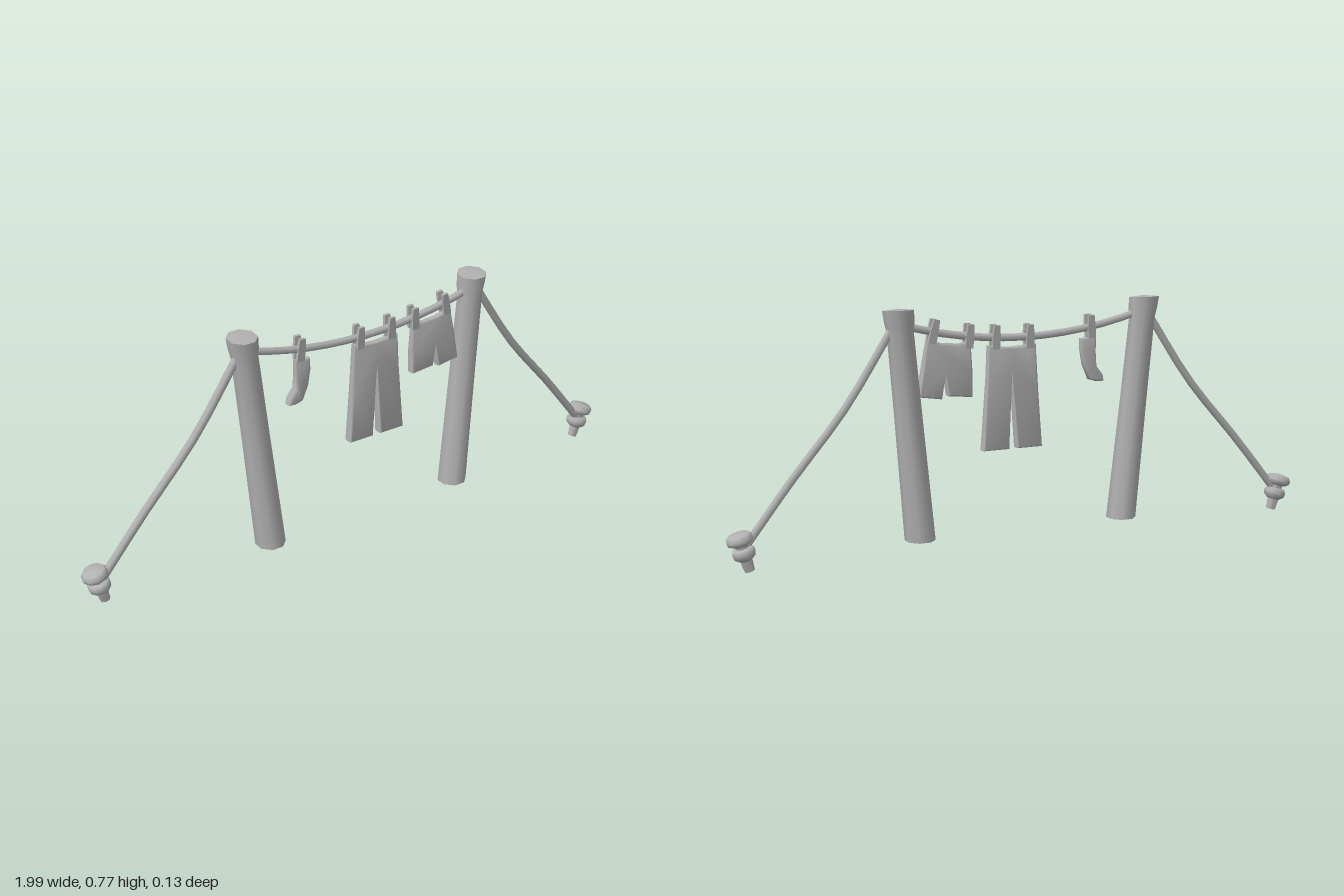
import * as THREE from 'three';
import { toCreasedNormals } from 'three/addons/utils/BufferGeometryUtils.js';

const grey = new THREE.MeshStandardMaterial({ color: 0xb0b0b0 });
grey.name = 'plain grey';

function add(parent, name, geometry) {
  const mesh = new THREE.Mesh(geometry, grey);
  mesh.name = name;
  parent.add(mesh);
  return mesh;
}

// Moves every vertex of a geometry by a rule
function warp(geometry, rule) {
  const p = geometry.attributes.position;
  const v = new THREE.Vector3();
  for (let i = 0; i < p.count; i++) {
    rule(v.fromBufferAttribute(p, i));
    p.setXYZ(i, v.x, v.y, v.z);
  }
  geometry.computeVertexNormals();
  return geometry;
}

const lathe = (profile, sides) =>
  new THREE.LatheGeometry(profile.map(([r, y]) => new THREE.Vector2(r, y)), sides, Math.PI / 8);

const rope = (points, segments, radius) => new THREE.TubeGeometry(
  new THREE.CatmullRomCurve3(points.map((p) => new THREE.Vector3(...p))), segments, radius, 8, false);

// Height of the sagging line at x
const lineY = (x) => 0.655 + 0.055 * (x / 0.4) ** 2;
const LINE_Z = 0.01;

// Soft flat garment, thicker towards the hem
function garment(outline, thickness, hemY, topY) {
  const shape = new THREE.Shape(outline.map(([x, y]) => new THREE.Vector2(x, y)));
  const bevel = 0.006;
  const geo = new THREE.ExtrudeGeometry(shape, {
    depth: thickness - 2 * bevel, bevelThickness: bevel, bevelSize: bevel,
    bevelOffset: -bevel, bevelSegments: 2, curveSegments: 4,
  });
  geo.translate(0, 0, bevel - thickness / 2);
  warp(geo, (v) => {
    const t = THREE.MathUtils.clamp((topY - v.y) / (topY - hemY), 0, 1);
    v.z = v.z * (0.7 + 0.5 * t) + LINE_Z;
  });
  return toCreasedNormals(geo, 0.9);
}

// Clothes peg: two tapered prongs and a spring pinching the line
function addPeg(parent, x, y, tilt) {
  const peg = new THREE.Group();
  peg.name = 'clothesPeg';
  for (const side of [-1, 1]) {
    const prong = new THREE.BoxGeometry(0.026, 0.076, 0.011, 1, 2, 1);
    warp(prong, (v) => {
      if (v.y > 0.03) v.x *= 0.75;
      v.z += side * (0.012 + v.y * 0.07);
    });
    add(peg, 'pegProng', toCreasedNormals(prong, 0.6));
  }
  add(peg, 'pegSpring', new THREE.BoxGeometry(0.016, 0.016, 0.03));
  peg.position.set(x, y, LINE_Z);
  peg.rotation.z = tilt;
  parent.add(peg);
}

export function createModel() {
  const model = new THREE.Group();
  model.name = 'clothesLine';

  for (const s of [-1, 1]) {
    // Leaning post with a slightly flared head and uneven top
    const post = lathe([[0, 0], [0.049, 0], [0.044, 0.4], [0.042, 0.665], [0.047, 0.7],
      [0.049, 0.732], [0, 0.737]], 8);
    warp(post, (v) => {
      if (v.y > 0.73) v.y += 0.003 - v.z * 0.08;
      v.x += s * (0.36 + 0.07 * v.y / 0.735);
      v.z += 0.017 - 0.015 * v.y / 0.735;
      v.y += 0.028;
    });
    add(model, 'post', toCreasedNormals(post, 0.9));

    // Guy rope from post head to stake
    add(model, 'guyRope', rope([
      [s * 0.42, 0.75, 0.007], [s * 0.46, 0.69, 0.006], [s * 0.605, 0.475, 0],
      [s * 0.79, 0.26, -0.009], [s * 0.94, 0.075, -0.017],
    ], 10, 0.013));

    // Stake: tapered pin with two bulging collars
    const stake = new THREE.Group();
    stake.name = 'stake';
    add(stake, 'stakePin', toCreasedNormals(
      lathe([[0, 0], [0.016, 0], [0.02, 0.045], [0.02, 0.1], [0, 0.1]], 8), 0.9));
    add(stake, 'lowerCollar', lathe([[0, 0.036], [0.02, 0.036], [0.034, 0.047], [0.037, 0.061],
      [0.031, 0.074], [0, 0.078]], 10));
    add(stake, 'stakeHead', lathe([[0, 0.083], [0.026, 0.085], [0.04, 0.094], [0.043, 0.106],
      [0.034, 0.119], [0, 0.124]], 10));
    stake.position.set(s * 0.927, 0.005, -0.021);
    stake.rotation.z = -s * 0.28;
    model.add(stake);
  }

  // Sagging line between the posts
  const linePoints = [];
  for (let i = -4; i <= 4; i++) linePoints.push([i * 0.104, lineY(i * 0.104), LINE_Z]);
  add(model, 'washingLine', rope(linePoints, 12, 0.012));

  // Sock
  add(model, 'sock', garment([
    [-0.255, 0.642], [-0.2, 0.638], [-0.2, 0.6], [-0.21, 0.55], [-0.232, 0.502], [-0.255, 0.495],
    [-0.282, 0.495], [-0.278, 0.517], [-0.256, 0.545], [-0.254, 0.59],
  ], 0.027, 0.495, 0.64));

  // Trousers
  add(model, 'trousers', garment([
    [-0.038, 0.635], [0, 0.629], [0.045, 0.626], [0.09, 0.629], [0.128, 0.635], [0.132, 0.53],
    [0.148, 0.298], [0.058, 0.298], [0.047, 0.54], [0.03, 0.298], [-0.058, 0.298], [-0.046, 0.48],
  ], 0.03, 0.3, 0.635));

  // Shorts
  add(model, 'shorts', garment([
    [0.188, 0.652], [0.23, 0.647], [0.285, 0.652], [0.335, 0.668], [0.35, 0.59], [0.366, 0.488],
    [0.288, 0.476], [0.276, 0.55], [0.266, 0.484], [0.185, 0.476], [0.183, 0.56],
  ], 0.028, 0.48, 0.66));

  // Pegs, each tilted to follow the line
  for (const x of [-0.235, -0.016, 0.102, 0.193, 0.313]) {
    addPeg(model, x, lineY(x) + 0.002, x > 0.25 ? 0.2 : x * 0.3);
  }

  return model;
}
